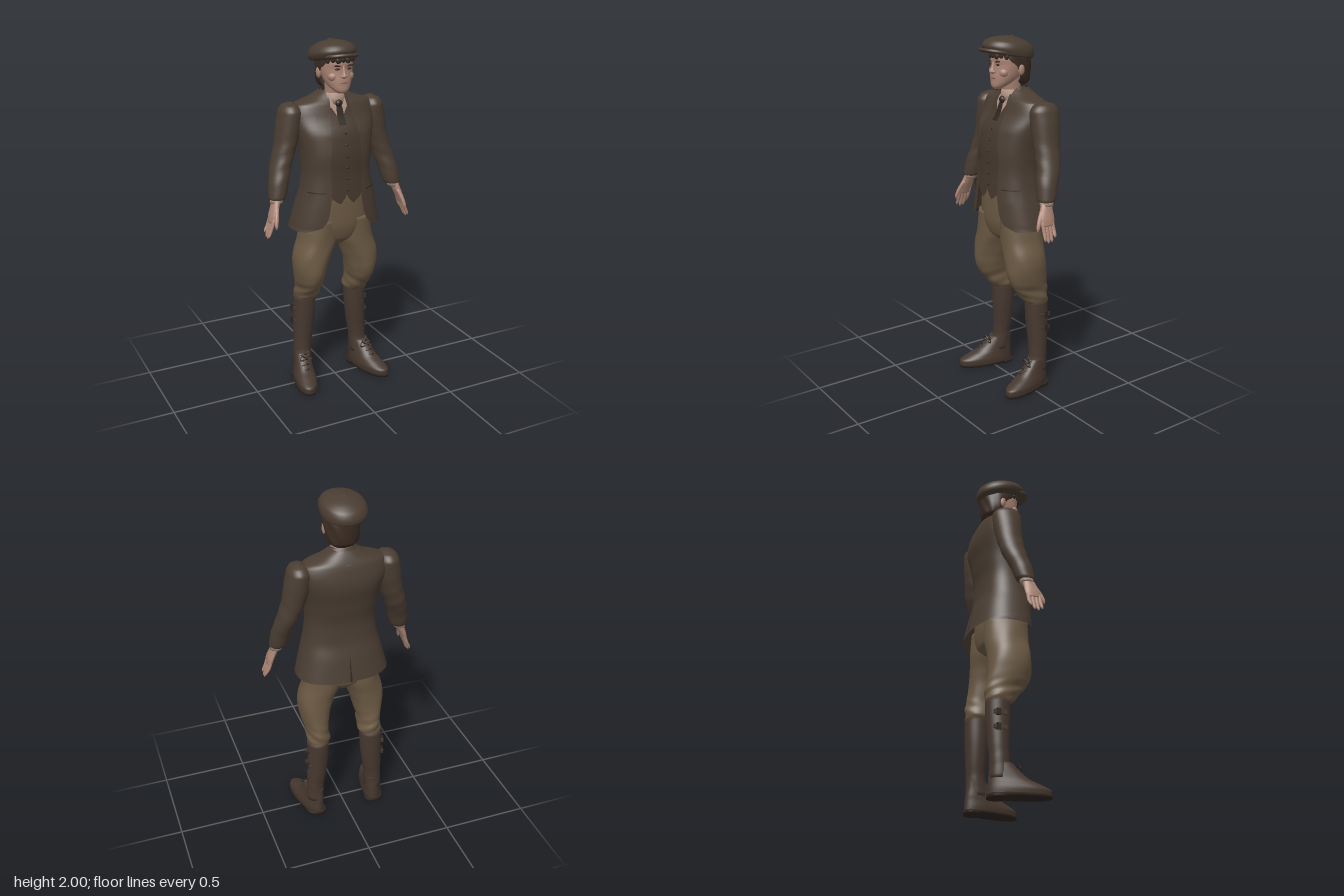
import * as THREE from 'three';

const mat = (name, color) => {
  const m = new THREE.MeshStandardMaterial({ color, side: THREE.DoubleSide });
  m.name = name;
  return m;
};

// Monotone cubic interpolation of every column of a profile by its first column (y)
function sample(rows, y) {
  let i = 0;
  while (i < rows.length - 2 && y > rows[i + 1][0]) i++;
  const a = rows[i], b = rows[i + 1], h = b[0] - a[0];
  const u = THREE.MathUtils.clamp((y - a[0]) / h, 0, 1);
  const slope = (k, c) => (rows[k + 1][c] - rows[k][c]) / (rows[k + 1][0] - rows[k][0]);
  const tangent = (k, c) => {
    if (k === 0) return slope(0, c);
    if (k === rows.length - 1) return slope(k - 1, c);
    const p = slope(k - 1, c), q = slope(k, c);
    return p * q <= 0 ? 0 : (2 * p * q) / (p + q);
  };
  return a.map((v, c) => c === 0 ? y :
    v * (1 + 2 * u) * (1 - u) ** 2 + tangent(i, c) * h * u * (1 - u) ** 2 +
    b[c] * u * u * (3 - 2 * u) + tangent(i + 1, c) * h * u * u * (u - 1));
}

const spow = (v, e) => Math.sign(v) * Math.abs(v) ** e;

function grid(points, cols, rowCount, wrap, capped) {
  const idx = [], w = wrap ? cols : cols - 1;
  for (let r = 0; r < rowCount - 1; r++) for (let j = 0; j < w; j++) {
    const a = r * cols + j, b = r * cols + (j + 1) % cols;
    idx.push(a, b, b + cols, a, b + cols, a + cols);
  }
  if (capped) for (let j = 0; j < cols; j++) {
    const k = (j + 1) % cols, top = (rowCount - 1) * cols, n = rowCount * cols;
    idx.push(n, k, j, n + 1, top + j, top + k);
  }
  const g = new THREE.BufferGeometry();
  g.setAttribute('position', new THREE.Float32BufferAttribute(points, 3));
  g.setIndex(idx);
  g.computeVertexNormals();
  return g;
}

// Stacked oval sections, rows of [y, cx, cz, rx, rz]; s mirrors, gap(y) opens the front
function loft(rows, { s = 1, n = 2, gap = null, fold = null, warp = null, segs = 36, steps = 5 } = {}) {
  rows = [...rows].sort((a, b) => a[0] - b[0]);
  const pts = [];
  let count = 0;
  const put = (x, y, z) => { const p = [x, y, z]; if (warp) warp(p); pts.push(...p); };
  for (let i = 0; i < rows.length - 1; i++) {
    for (let k = i ? 1 : 0; k <= steps; k++) {
      const [y, cx, cz, rx, rz] = sample(rows, THREE.MathUtils.lerp(rows[i][0], rows[i + 1][0], k / steps));
      const g = gap ? Math.asin(Math.min(1, (gap(y) / rx) ** (n / 2))) : 0;
      for (let j = 0; j < segs; j++) {
        const t = gap ? g + (2 * Math.PI - 2 * g) * j / (segs - 1) : 2 * Math.PI * j / segs;
        const f = fold ? 1 + fold(t * s, y) : 1;
        put(cx * s + rx * f * spow(Math.sin(t), 2 / n), y, cz + rz * f * spow(Math.cos(t), 2 / n));
      }
      count++;
    }
  }
  if (!gap) for (const r of [rows[0], rows[rows.length - 1]]) put(r[1] * s, r[0], r[2]);
  return grid(pts, segs, count, !gap, !gap);
}

const JACKET = [
  [0.968, 0, -0.013, 0.265, 0.175], [1.1, 0, 0, 0.232, 0.16], [1.2, 0, 0.01, 0.207, 0.145],
  [1.3, 0, 0.01, 0.196, 0.14], [1.4, 0, 0.002, 0.203, 0.148], [1.5, 0, -0.017, 0.222, 0.148],
  [1.6, 0, -0.043, 0.243, 0.118], [1.655, 0, -0.045, 0.225, 0.1], [1.69, 0, -0.045, 0.13, 0.083],
  [1.725, 0, -0.045, 0.066, 0.06]];
const OPENING = [[0.968, 0.21], [0.985, 0.16], [1.03, 0.118], [1.1, 0.1], [1.2, 0.088], [1.35, 0.094],
  [1.5, 0.088], [1.62, 0.068], [1.725, 0.056]];
const N = 2.4;

// Depth of the jacket surface at x, y; dir -1 gives the back
function surfaceZ(x, y, dir = 1) {
  const [, , cz, rx, rz] = sample(JACKET, y);
  return cz + dir * rz * (1 - Math.min(0.98, Math.abs(x) / rx) ** N) ** (1 / N);
}

// Thin cloth panel lying on the jacket, rows of [y, x0, x1]
function panel(rows, off, s = 1, dir = 1) {
  const pts = [], R = 20, C = 7;
  for (let r = 0; r <= R; r++) {
    const [y, x0, x1] = sample(rows, THREE.MathUtils.lerp(rows[0][0], rows[rows.length - 1][0], r / R));
    for (let c = 0; c < C; c++) {
      const u = s * dir > 0 ? c / (C - 1) : 1 - c / (C - 1);
      const x = s * THREE.MathUtils.lerp(x0, x1, u);
      pts.push(x, y, surfaceZ(x, y, dir) + dir * off);
    }
  }
  return grid(pts, C, R + 1, false, false);
}

export function createModel() {
  const model = new THREE.Group();
  const tweed = mat('brown tweed', 0x4a3d32), vestCloth = mat('waistcoat brown', 0x45382e);
  const breeches = mat('olive breeches', 0x6b5943), leather = mat('boot leather', 0x46382f);
  const skin = mat('skin', 0xaa8473), hairMat = mat('dark hair', 0x3b2c23);
  const linen = mat('shirt linen', 0xad9080), dark = mat('dark trim', 0x2e251f), lip = mat('lips', 0x8f6658);
  const add = (name, geo, m) => {
    const mesh = new THREE.Mesh(geo, m);
    mesh.name = name;
    model.add(mesh);
    return mesh;
  };
  const blob = (name, m, x, y, z, a, b, c) => {
    const o = add(name, new THREE.SphereGeometry(1, 16, 12), m);
    o.position.set(x, y, z);
    o.scale.set(a, b, c);
    return o;
  };
  const tube = (name, m, pts, r) => add(name, new THREE.TubeGeometry(
    new THREE.CatmullRomCurve3(pts.map(p => new THREE.Vector3(...p))), 16, r, 6), m);

  // Jacket, waistcoat, shirt and tie
  add('jacket', loft(JACKET, { n: N, gap: y => sample(OPENING, y)[1], segs: 64 }), tweed);
  add('waistcoatBody', loft(JACKET.filter(r => r[0] > 1.15 && r[0] < 1.7)
    .map(([y, x, z, a, b]) => [y, x, z, a - 0.012, b - 0.014]), { n: N, segs: 48 }), vestCloth);
  add('shirtFront', panel([[1.56, -0.008, 0.008], [1.64, -0.05, 0.05], [1.69, -0.045, 0.045]], -0.01), linen);
  add('tie', panel([[1.55, -0.022, 0.022], [1.63, -0.019, 0.019], [1.655, -0.012, 0.012]], -0.003), dark);
  blob('tieKnot', dark, 0, 1.66, 0.05, 0.02, 0.02, 0.015);
  add('shirtCollar', loft([[1.655, 0, -0.012, 0.064, 0.062], [1.715, 0, -0.014, 0.056, 0.056]], { steps: 2 }), linen);
  add('jacketCollar', loft([[1.66, 0, -0.045, 0.12, 0.1], [1.7, 0, -0.035, 0.088, 0.07],
    [1.733, 0, -0.03, 0.066, 0.055]], { gap: () => 0.066 }), tweed);
  for (let i = 0; i < 6; i++)
    blob('waistcoatButton', dark, 0.006, 1.2 + i * 0.062, surfaceZ(0, 1.2 + i * 0.062) - 0.005, 0.007, 0.007, 0.004);
  add('backVent', panel([[0.97, -0.006, 0.006], [1.12, -0.001, 0.001]], 0.003, 1, -1), dark);

  for (const s of [1, -1]) {
    const side = s > 0 ? 'left' : 'right';
    add(side + 'Waistcoat', panel([[1.125, 0.035, 0.045], [1.175, 0, 0.1], [1.25, 0, 0.11], [1.5, 0, 0.1],
      [1.57, 0.008, 0.09], [1.64, 0.045, 0.08]], -0.007, s), vestCloth);
    add(side + 'Lapel', panel([[1.4, 0.09, 0.096], [1.5, 0.084, 0.118], [1.6, 0.068, 0.145],
      [1.628, 0.062, 0.14]], 0.008, s), tweed);
    add(side + 'CollarLeaf', panel([[1.632, 0.062, 0.122], [1.66, 0.06, 0.11], [1.695, 0.056, 0.085]], 0.008, s), tweed);
    add(side + 'PocketFlap', panel([[1.125, 0.132, 0.218], [1.19, 0.125, 0.202]], 0.012, s), tweed);
    add(side + 'PocketSeam', panel([[1.19, 0.122, 0.2], [1.196, 0.122, 0.2]], 0.008, s), dark);

    // Sleeves with creases at the elbow
    add(side + 'Sleeve', loft([[1.165, 0.358, 0.018, 0.044, 0.046], [1.18, 0.354, 0.014, 0.05, 0.052],
      [1.25, 0.34, 0, 0.055, 0.06], [1.35, 0.31, -0.03, 0.06, 0.069], [1.45, 0.277, -0.042, 0.064, 0.075],
      [1.55, 0.256, -0.047, 0.07, 0.083], [1.62, 0.248, -0.048, 0.063, 0.085],
      [1.655, 0.247, -0.047, 0.046, 0.062], [1.672, 0.245, -0.046, 0.012, 0.02]],
      { s, fold: (t, y) => 0.025 * Math.sin(y * 75 + 2 * t) * Math.exp(-(((y - 1.36) / 0.12) ** 2)) }), tweed);
    add(side + 'Cuff', loft([[1.145, 0.366, 0.022, 0.034, 0.037], [1.175, 0.358, 0.018, 0.038, 0.04]], { s, steps: 2 }), linen);

    // Hands
    add(side + 'Palm', loft([[1.045, 0.406, 0.042, 0.012, 0.04], [1.08, 0.396, 0.04, 0.017, 0.045],
      [1.12, 0.381, 0.034, 0.021, 0.04], [1.18, 0.36, 0.02, 0.025, 0.03]], { s, segs: 20 }), skin);
    for (let i = 0; i < 4; i++) {
      const z = 0.011 + i * 0.021, tip = [0.982, 0.962, 0.958, 0.97][i];
      add(side + 'Finger', loft([[tip, 0.434, z + 0.004, 0.003, 0.004], [tip + 0.012, 0.43, z + 0.003, 0.008, 0.009],
        [1.02, 0.415, z, 0.01, 0.011], [1.07, 0.398, z, 0.011, 0.011]], { s, segs: 10, steps: 3 }), skin);
    }
    add(side + 'Thumb', loft([[1.02, 0.4, 0.104, 0.004, 0.004], [1.04, 0.398, 0.1, 0.01, 0.01],
      [1.08, 0.39, 0.083, 0.012, 0.014], [1.13, 0.376, 0.05, 0.014, 0.02]], { s, segs: 12, steps: 3 }), skin);

    // Baggy breeches gathered below the knee
    add(side + 'BreechesLeg', loft([[0.515, 0.16, -0.066, 0.058, 0.066], [0.545, 0.157, -0.055, 0.068, 0.083],
      [0.6, 0.16, -0.033, 0.065, 0.104], [0.65, 0.162, -0.012, 0.076, 0.116], [0.72, 0.16, 0, 0.09, 0.121],
      [0.8, 0.146, 0.002, 0.103, 0.121], [0.9, 0.113, -0.002, 0.108, 0.124], [1.02, 0.1, 0, 0.1, 0.125]],
      { s, n: 2.1, segs: 48, steps: 7, fold: (t, y) =>
        0.035 * Math.sin(y * 95 + 3 * t) * Math.exp(-(((y - 0.57) / 0.06) ** 2)) +
        0.014 * Math.sin(y * 20 + 5 * t) }), breeches);

    // Tall boots
    add(side + 'BootShaft', loft([[0.1, 0.187, -0.055, 0.05, 0.066], [0.2, 0.182, -0.068, 0.051, 0.053],
      [0.3, 0.174, -0.071, 0.058, 0.058], [0.42, 0.166, -0.07, 0.063, 0.066], [0.53, 0.163, -0.07, 0.064, 0.069]],
      { s, fold: (t, y) => 0.018 * Math.sin(y * 90 + t) * Math.exp(-(((y - 0.19) / 0.07) ** 2)) }), leather);
    const toeOut = p => { p[0] += s * 0.2 * (p[2] + 0.07); };
    add(side + 'Shoe', loft([[0.018, 0.19, 0.03, 0.06, 0.16], [0.045, 0.19, 0.031, 0.063, 0.16],
      [0.072, 0.189, 0.008, 0.059, 0.135], [0.1, 0.187, -0.022, 0.054, 0.103], [0.14, 0.186, -0.044, 0.05, 0.077],
      [0.18, 0.184, -0.062, 0.047, 0.058]], { s, n: 2.2, warp: toeOut }), leather);
    add(side + 'Sole', loft([[0.006, 0.19, 0.032, 0.062, 0.16], [0.022, 0.19, 0.032, 0.066, 0.165]],
      { s, n: 2.2, steps: 2, warp: toeOut }), dark);
    add(side + 'Heel', loft([[0, 0.19, -0.078, 0.056, 0.053], [0.02, 0.19, -0.078, 0.058, 0.055]],
      { s, n: 2.5, steps: 2, warp: toeOut }), dark);
    for (let i = 0; i < 4; i++) {
      const y = 0.105 + i * 0.022, z = 0.066 - i * 0.022, x = s * (0.187 + 0.2 * (z + 0.07));
      tube(side + 'Lace', dark, [[x - 0.026, y - 0.008, z - 0.005], [x, y + 0.005, z + 0.006],
        [x + 0.026, y - 0.008, z - 0.005]], 0.004);
    }
    for (const d of [1, -1]) tube(side + 'LaceBow', dark, [[s * 0.2, 0.155, 0.014], [s * 0.2 + d * 0.025, 0.172, 0.02],
      [s * 0.2 + d * 0.036, 0.15, 0.026], [s * 0.2 + d * 0.014, 0.145, 0.026]], 0.004);
    for (const y of [0.365, 0.445]) {
      const strap = add(side + 'BootStrap', new THREE.BoxGeometry(0.014, 0.022, 0.07), leather);
      strap.position.set(s * 0.228, y, -0.08);
      const buckle = add(side + 'BootBuckle', new THREE.BoxGeometry(0.016, 0.036, 0.024), dark);
      buckle.position.set(s * 0.231, y, -0.09);
    }

    // Facial features
    blob(side + 'Ear', skin, s * 0.09, 1.828, -0.012, 0.014, 0.033, 0.02);
    blob(side + 'Eye', dark, s * 0.034, 1.853, 0.101, 0.014, 0.005, 0.006);
    blob(side + 'Brow', hairMat, s * 0.036, 1.871, 0.104, 0.021, 0.005, 0.007).rotation.z = s * 0.1;
    blob(side + 'Cheek', skin, s * 0.045, 1.812, 0.072, 0.03, 0.026, 0.027);
    blob(side + 'Nostril', skin, s * 0.011, 1.815, 0.112, 0.009, 0.008, 0.01);
  }
  add('breastPocket', panel([[1.485, 0.1, 0.17], [1.505, 0.1, 0.17]], 0.008), tweed);
  add('breechesSeat', loft([[0.86, 0, -0.01, 0.04, 0.07], [0.91, 0, -0.005, 0.14, 0.115],
    [1.0, 0, 0, 0.198, 0.13], [1.1, 0, 0.002, 0.19, 0.128], [1.22, 0, 0.005, 0.17, 0.118]], { n: 2.2 }), breeches);

  // Head and neck
  add('neck', loft([[1.62, 0, -0.03, 0.058, 0.06], [1.7, 0, -0.014, 0.05, 0.053], [1.8, 0, 0, 0.055, 0.06]]), skin);
  add('head', loft([[1.722, 0, 0.082, 0.02, 0.018], [1.735, 0, 0.073, 0.038, 0.037], [1.76, 0, 0.05, 0.06, 0.062],
    [1.8, 0, 0.025, 0.077, 0.086], [1.85, 0, 0.015, 0.086, 0.09], [1.88, 0, 0.012, 0.087, 0.098],
    [1.93, 0, 0.008, 0.08, 0.094], [1.965, 0, 0, 0.04, 0.05]], { n: 2.15 }), skin);
  add('nose', loft([[1.803, 0, 0.108, 0.007, 0.008], [1.815, 0, 0.113, 0.013, 0.016], [1.835, 0, 0.107, 0.01, 0.014],
    [1.875, 0, 0.1, 0.007, 0.009]], { segs: 16 }), skin);
  blob('lips', lip, 0, 1.782, 0.108, 0.023, 0.006, 0.007);
  blob('chin', skin, 0, 1.745, 0.093, 0.024, 0.017, 0.019);

  // Hair around the back and sides, with a fringe under the cap
  const hairline = [[1.74, 0.053], [1.79, 0.086], [1.85, 0.093], [1.87, 0.085], [1.91, 0.07]];
  add('hair', loft([[1.74, 0, -0.052, 0.055, 0.042], [1.765, 0, -0.042, 0.083, 0.069], [1.82, 0, -0.025, 0.096, 0.092],
    [1.88, 0, -0.008, 0.101, 0.108], [1.93, 0, 0, 0.095, 0.1]], { gap: y => sample(hairline, Math.min(y, 1.91))[1],
    segs: 60, fold: (t, y) => 0.02 * Math.sin(9 * t + y * 50) }), hairMat);
  for (let i = 0; i < 7; i++) {
    const a = -0.95 + i * 0.31;
    blob('fringeLock', hairMat, 0.086 * Math.sin(a), 1.9 + 0.006 * (i % 2), 0.012 + 0.094 * Math.cos(a), 0.018, 0.02, 0.012);
  }

  // Flat cap, sloping up to the front
  const tilt = p => { p[1] += 0.17 * p[2]; };
  add('cap', loft([[1.888, -0.008, -0.003, 0.1, 0.11], [1.9, -0.014, -0.004, 0.12, 0.136], [1.925, -0.016, 0, 0.125, 0.147],
    [1.955, -0.014, -0.004, 0.115, 0.134], [1.98, -0.013, -0.012, 0.082, 0.095], [1.996, -0.013, -0.02, 0.03, 0.04],
    [2.0, -0.013, -0.022, 0.005, 0.005]], { n: 2.1, warp: tilt, segs: 48 }), tweed);
  add('capBrim', loft([[1.892, -0.008, 0.072, 0.09, 0.09], [1.902, -0.008, 0.073, 0.098, 0.101],
    [1.914, -0.008, 0.07, 0.095, 0.098]], { n: 2.2, warp: tilt, steps: 3 }), tweed);
  blob('capButton', tweed, -0.013, 1.995, -0.024, 0.011, 0.005, 0.011);
  return model;
}
